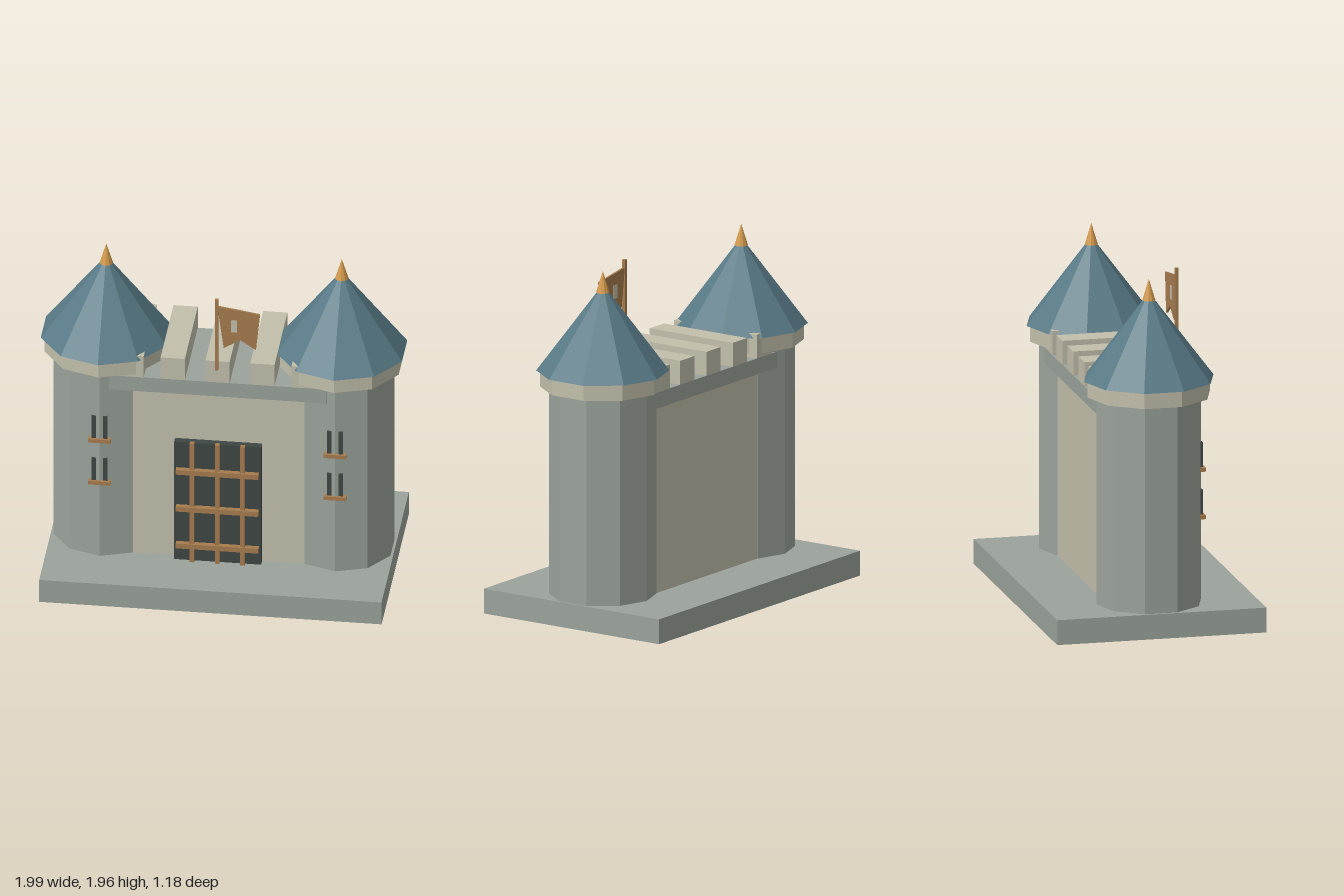
import * as THREE from 'three';

const paint = (color) => new THREE.MeshStandardMaterial({ color, flatShading: true });

export function createModel() {
  const castle = new THREE.Group();
  castle.name = 'castleGate';
  const stone = paint(0x9aa39b), cream = paint(0xc2bfab), slate = paint(0x587a86);
  const wood = paint(0xa67c4e), dark = paint(0x3e4743), gold = paint(0xd49a4c);

  const add = (parent, name, geometry, material) => {
    const mesh = new THREE.Mesh(geometry, material);
    mesh.name = name;
    parent.add(mesh);
    return mesh;
  };
  // Box given by its lower and upper limits on each axis
  const box = (parent, name, material, x0, x1, y0, y1, z0, z1) =>
    add(parent, name, new THREE.BoxGeometry(x1 - x0, y1 - y0, z1 - z0), material)
      .position.set((x0 + x1) / 2, (y0 + y1) / 2, (z0 + z1) / 2);
  // Ten-sided drum or cone standing between two heights
  const drum = (parent, name, material, r0, r1, y0, y1) => {
    const geometry = r1 > 0
      ? new THREE.CylinderGeometry(r1, r0, y1 - y0, 10)
      : new THREE.ConeGeometry(r0, y1 - y0, 10);
    add(parent, name, geometry, material).position.y = (y0 + y1) / 2;
  };

  box(castle, 'base', stone, -0.945, 0.945, 0, 0.14, -0.59, 0.59);

  // Gatehouse wall, cornice and battlements
  box(castle, 'wall', cream, -0.55, 0.55, 0.14, 1.2, -0.235, 0.235);
  box(castle, 'cornice', stone, -0.6, 0.6, 1.2, 1.29, -0.28, 0.28);
  for (const x of [-0.475, -0.2475, 0, 0.2475, 0.475])
    box(castle, 'merlon', cream, x - 0.067, x + 0.067, 1.29, 1.425, -0.28, 0.28);

  // Gate with its wooden grille
  const gate = new THREE.Group();
  gate.name = 'gate';
  castle.add(gate);
  box(gate, 'gatePanel', dark, -0.24, 0.24, 0.14, 0.89, 0.2, 0.276);
  for (const x of [-0.14, 0, 0.14])
    box(gate, 'verticalBar', wood, x - 0.0125, x + 0.0125, 0.14, 0.895, 0.27, 0.298);
  for (const y of [0.242, 0.477, 0.713])
    box(gate, 'crossBar', wood, -0.228, 0.228, y - 0.015, y + 0.015, 0.27, 0.306);

  // Towers
  for (const side of [-1, 1]) {
    const tower = new THREE.Group();
    tower.name = side > 0 ? 'leftTower' : 'rightTower';
    tower.position.x = side * 0.65;
    castle.add(tower);
    drum(tower, 'towerShaft', stone, 0.295, 0.295, 0.14, 1.31);
    drum(tower, 'towerCollar', cream, 0.345, 0.345, 1.31, 1.402);
    drum(tower, 'towerRoof', slate, 0.365, 0, 1.4, 1.885);
    drum(tower, 'finial', gold, 0.037, 0, 1.84, 1.96);
    // Paired window slits above wooden sills
    for (const y of [0.6, 0.868]) {
      box(tower, 'windowSill', wood, -0.062, 0.062, y, y + 0.022, 0.26, 0.308);
      for (const x of [-0.032, 0.032])
        box(tower, 'windowSlit', dark, x - 0.012, x + 0.012, y + 0.02, y + 0.163, 0.26, 0.294);
    }
  }

  // Flag on its pole
  const flag = new THREE.Group();
  flag.name = 'flag';
  flag.position.z = 0.32;
  castle.add(flag);
  box(flag, 'flagPole', wood, -0.009, 0.009, 1.395, 1.845, -0.009, 0.009);
  const outline = new THREE.Shape(
    [[0.005, 1.802], [0.04, 1.54], [0.132, 1.597], [0.217, 1.54], [0.24, 1.765]]
      .map(([x, y]) => new THREE.Vector2(x, y)));
  add(flag, 'flagCloth', new THREE.ExtrudeGeometry(outline, { depth: 0.012, bevelEnabled: false }), wood)
    .position.z = -0.006;
  box(flag, 'flagPatch', cream, 0.08, 0.113, 1.645, 1.72, -0.009, 0.009);

  return castle;
}
